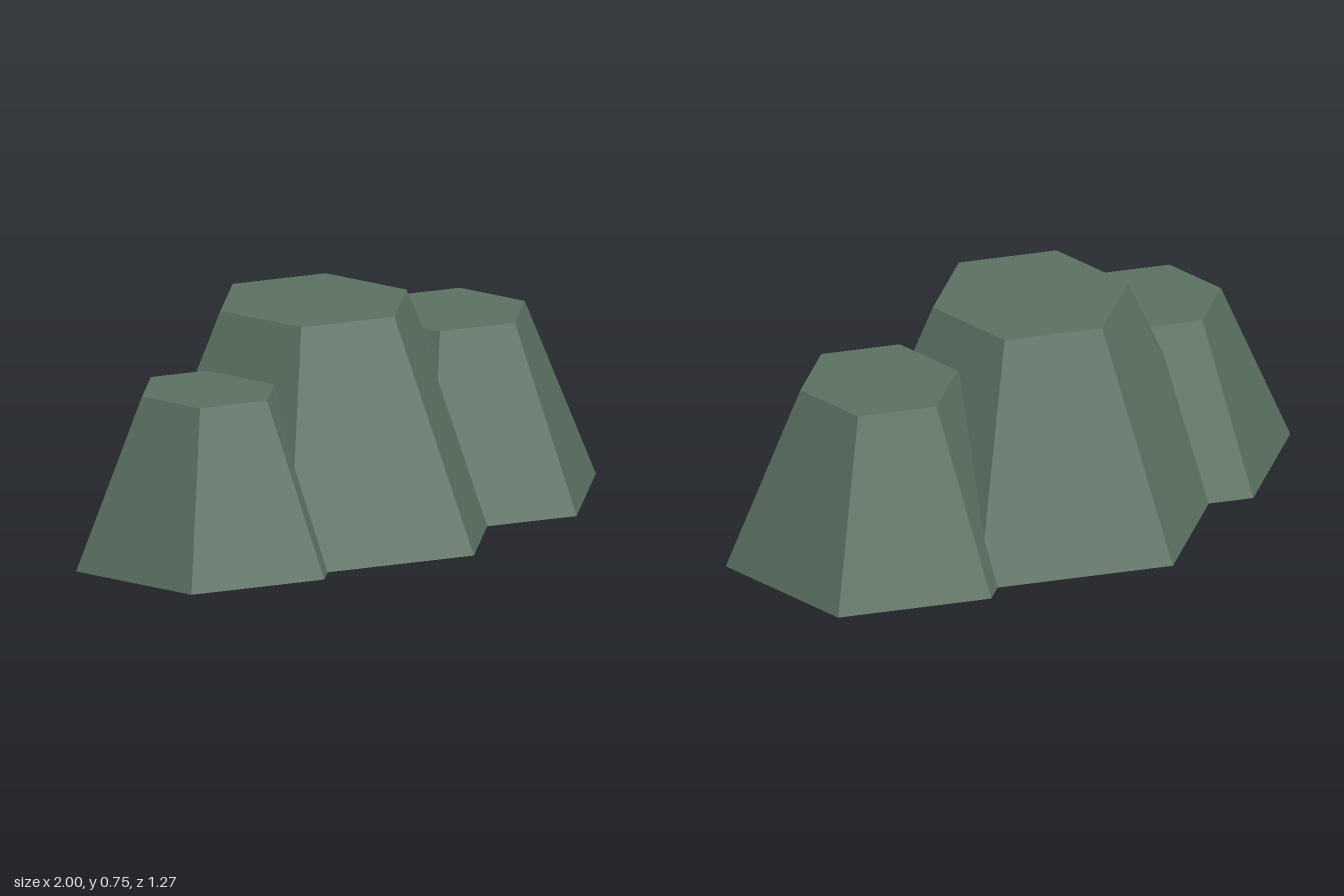
import * as THREE from 'three';

export function createModel() {
  const group = new THREE.Group();
  group.name = 'rockCluster';

  const stone = new THREE.MeshStandardMaterial({ color: 0x5b7262, flatShading: true });
  stone.name = 'mossy stone';

  // Tapered six-sided rock standing on the ground, with corners on the x axis
  function addRock(name, x, z, topRadius, baseRadius, height) {
    const geometry = new THREE.CylinderGeometry(topRadius, baseRadius, height, 6);
    geometry.rotateY(Math.PI / 6);
    geometry.translate(0, height / 2, 0);
    const rock = new THREE.Mesh(geometry, stone);
    rock.name = name;
    rock.position.set(x, 0, z);
    group.add(rock);
  }

  addRock('centreRock', -0.07, -0.005, 0.326, 0.647, 0.745);
  addRock('leftRock', 0.487, -0.192, 0.262, 0.511, 0.605);
  addRock('rightRock', -0.535, 0.228, 0.234, 0.465, 0.56);

  return group;
}
